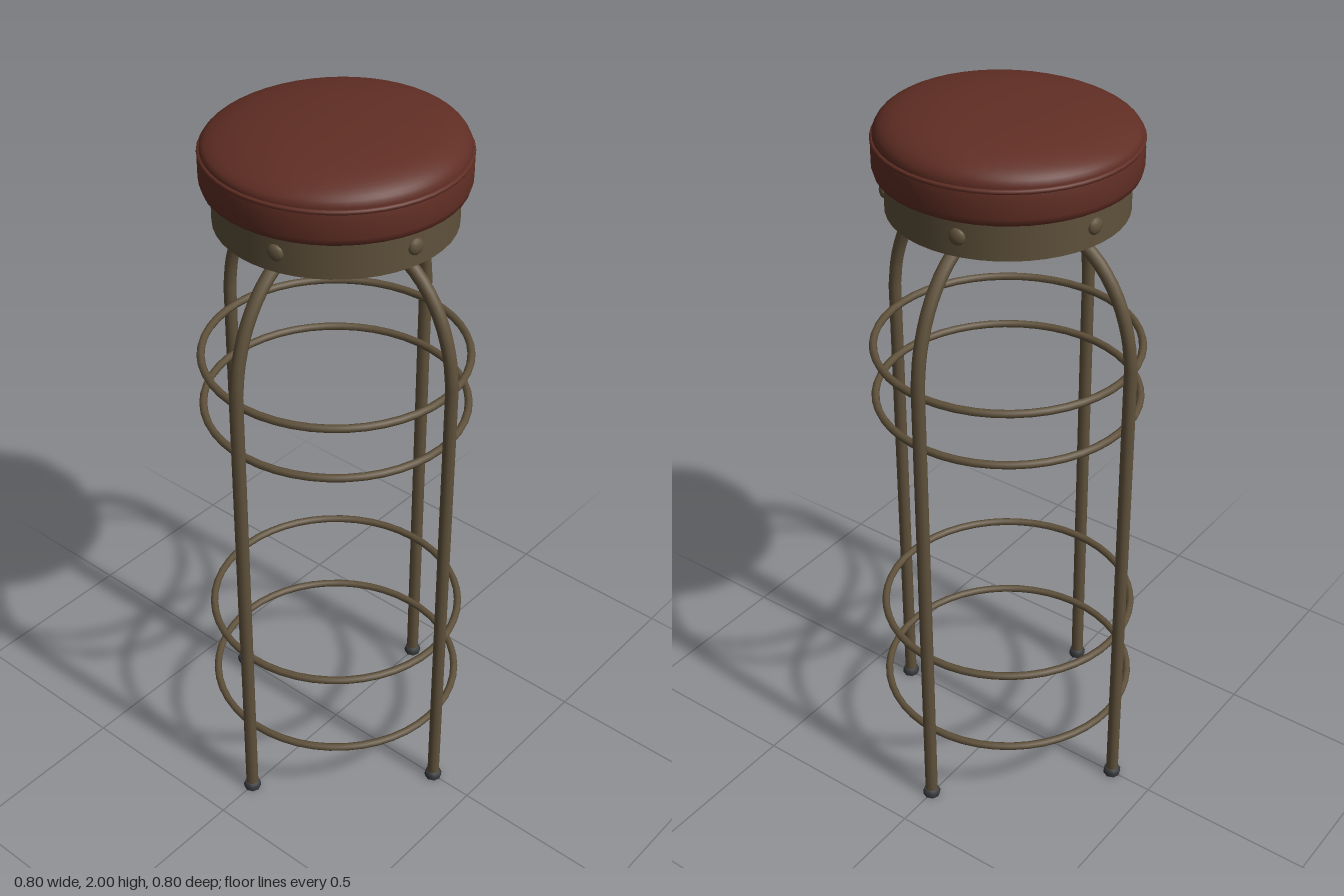
import * as THREE from 'three';

const mat = (name, color, side = THREE.FrontSide) => {
  const m = new THREE.MeshStandardMaterial({ color, side });
  m.name = name;
  return m;
};

export function createModel() {
  const stool = new THREE.Group();
  stool.name = 'barStool';
  const leather = mat('brown leather', 0x602e24);
  const metal = mat('bronze metal', 0x5f513b);
  const rubber = mat('dark rubber', 0x36383a);
  const steel = mat('blue grey steel', 0x464c56);

  const add = (name, geometry, material, parent = stool) => {
    const mesh = new THREE.Mesh(geometry, material);
    mesh.name = name;
    parent.add(mesh);
    return mesh;
  };
  const lathe = (pts, seg = 48) =>
    new THREE.LatheGeometry(pts.map(([r, y]) => new THREE.Vector2(r, y)), seg);

  // Cushion side wall with a flat underside
  add('cushionBase', lathe([[0, 1.822], [0.318, 1.822], [0.318, 1.822], [0.328, 1.828],
    [0.333, 1.845], [0.333, 1.89], [0.328, 1.912]]), leather);

  // Padded top, worn slightly higher towards one side
  const padCurve = new THREE.SplineCurve([[0.328, 1.91], [0.324, 1.932], [0.3, 1.953],
    [0.25, 1.972], [0.17, 1.987], [0.08, 1.994], [0, 1.996]].map(p => new THREE.Vector2(...p)));
  const pad = new THREE.LatheGeometry(padCurve.getPoints(20), 48);
  const pos = pad.attributes.position;
  for (let i = 0; i < pos.count; i++) {
    const lift = THREE.MathUtils.smoothstep(pos.getY(i), 1.91, 1.97);
    pos.setY(i, pos.getY(i) + 0.022 * lift * (pos.getX(i) - pos.getZ(i)));
  }
  pad.computeVertexNormals();
  add('cushionTop', pad, leather);

  // Piping along the seam
  const piping = add('seamPiping', new THREE.TorusGeometry(0.328, 0.006, 8, 48), leather);
  piping.rotation.x = Math.PI / 2;
  piping.position.y = 1.912;

  // Seat band: outer wall and rims in bronze, lining in steel
  add('seatBand', lathe([[0.297, 1.725], [0.305, 1.725], [0.305, 1.725],
    [0.305, 1.818], [0.305, 1.818], [0.297, 1.818]]), metal);
  add('seatBandLining', lathe([[0.297, 1.818], [0.297, 1.725]]), steel);

  // Rivets around the band
  for (const deg of [13, 78, 131, 193, 258, 311]) {
    const a = THREE.MathUtils.degToRad(deg);
    const rivet = add('rivet', new THREE.SphereGeometry(0.022, 12, 8), metal);
    rivet.position.set(Math.sin(a) * 0.304, 1.777, Math.cos(a) * 0.304);
    rivet.rotation.y = a;
    rivet.scale.z = 0.55;
  }

  // Mounting plate and hollow hub below the seat
  add('mountingPlate', new THREE.BoxGeometry(0.24, 0.014, 0.24), steel).position.y = 1.814;
  add('hub', lathe([[0.038, 1.807], [0.038, 1.61], [0.038, 1.61], [0.05, 1.61],
    [0.05, 1.61], [0.05, 1.807]], 24), metal);

  // Four legs, straight below and arching into the hub
  const legPath = new THREE.CurvePath();
  const v = (x, y) => new THREE.Vector3(x, y, 0);
  legPath.add(new THREE.LineCurve3(v(0.375, 0.01), v(0.375, 1.38)));
  legPath.add(new THREE.CatmullRomCurve3([v(0.375, 1.38), v(0.362, 1.47), v(0.325, 1.57),
    v(0.265, 1.65), v(0.19, 1.7), v(0.11, 1.727), v(0.043, 1.735)]));
  const legGeometry = new THREE.TubeGeometry(legPath, 60, 0.0175, 10, false);
  const footGeometry = lathe([[0, 0], [0.024, 0], [0.024, 0], [0.025, 0.012],
    [0.02, 0.024], [0, 0.024]], 8);
  for (let i = 0; i < 4; i++) {
    const leg = new THREE.Group();
    leg.name = 'leg';
    leg.rotation.y = i * Math.PI / 2;
    add('legTube', legGeometry, metal, leg);
    add('foot', footGeometry, rubber, leg).position.x = 0.375;
    stool.add(leg);
  }

  // Hoops tying the legs together
  const hoopGeometry = new THREE.TorusGeometry(0.35, 0.0105, 8, 48);
  for (const y of [0.228, 0.488, 1.182, 1.333]) {
    const hoop = add('hoop', hoopGeometry, metal);
    hoop.rotation.x = Math.PI / 2;
    hoop.position.y = y;
  }
  return stool;
}
